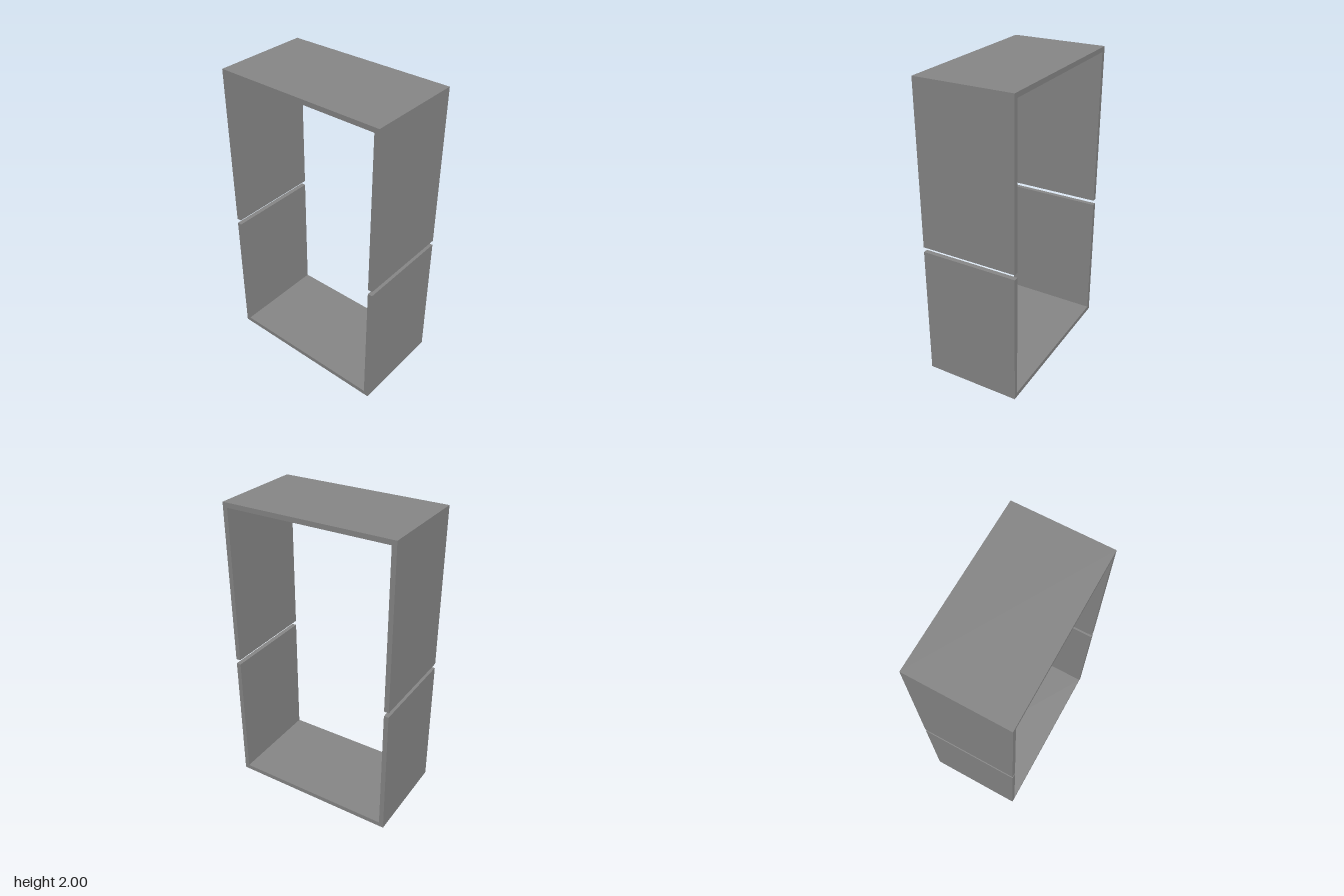
import * as THREE from 'three';

const HALF_WIDTH = 0.57, DEPTH = 0.643, WALL = 0.031;

// U-shaped channel: a plate at yPlate with two walls reaching to yEnd
function channel(name, yPlate, yEnd, material) {
  const dir = Math.sign(yEnd - yPlate);
  const inner = HALF_WIDTH - WALL, yInner = yPlate + dir * WALL;
  const shape = new THREE.Shape([
    [-HALF_WIDTH, yPlate], [HALF_WIDTH, yPlate], [HALF_WIDTH, yEnd], [inner, yEnd],
    [inner, yInner], [-inner, yInner], [-inner, yEnd], [-HALF_WIDTH, yEnd],
  ].map(([x, y]) => new THREE.Vector2(x, y)));
  const geometry = new THREE.ExtrudeGeometry(shape, { depth: DEPTH, bevelEnabled: false });
  geometry.translate(0, 0, -DEPTH / 2);
  const mesh = new THREE.Mesh(geometry, material);
  mesh.name = name;
  return mesh;
}

export function createModel() {
  const group = new THREE.Group();
  group.name = 'splitFrame';
  const material = new THREE.MeshStandardMaterial({ color: 0x878787 });

  // Two facing channels separated by a narrow gap
  group.add(channel('lowerChannel', 0, 0.895, material));
  group.add(channel('upperChannel', 2, 0.928, material));
  return group;
}
